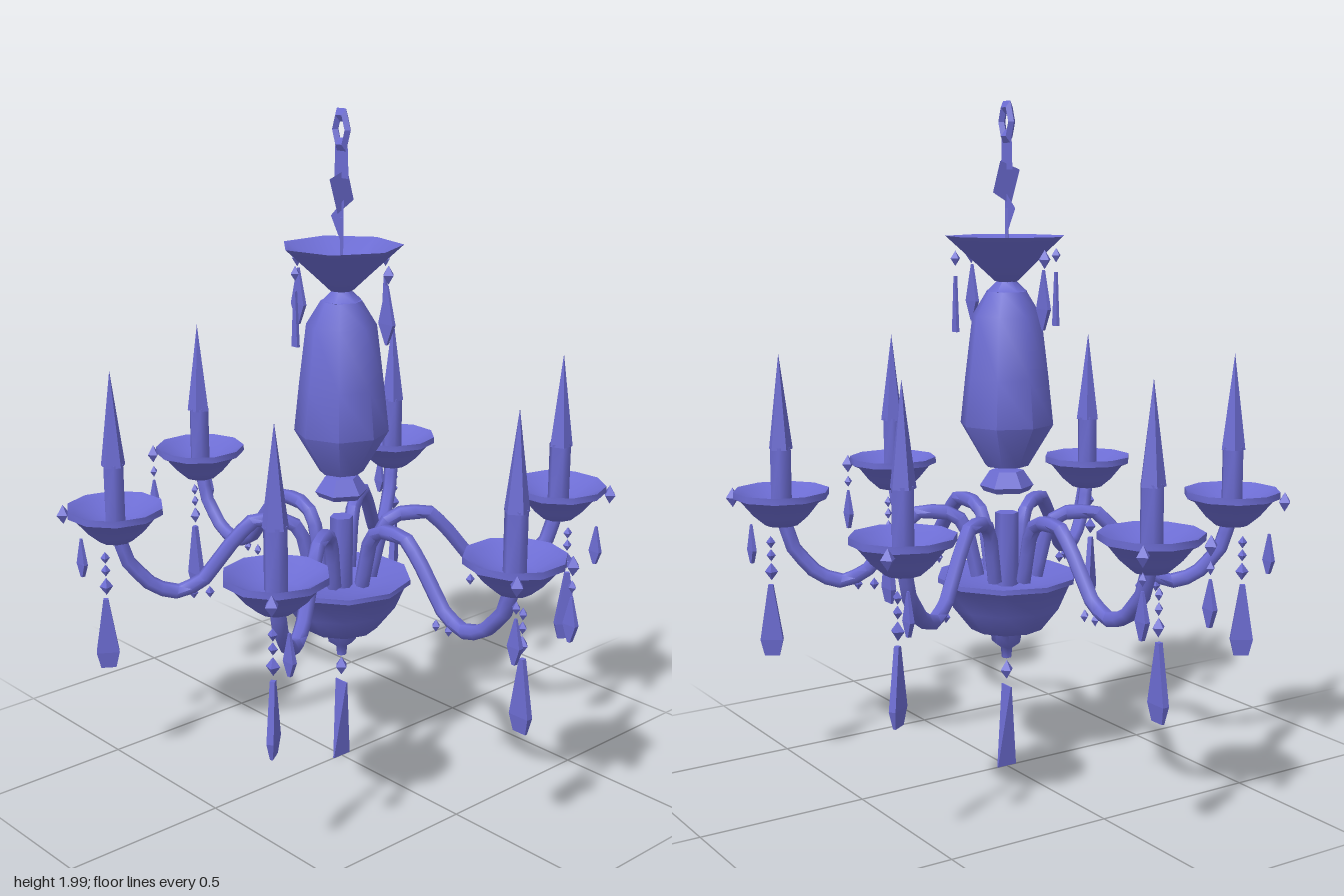
import * as THREE from 'three';
import { toCreasedNormals } from 'three/addons/utils/BufferGeometryUtils.js';
import { ConvexGeometry } from 'three/addons/geometries/ConvexGeometry.js';

export function createModel() {
  const model = new THREE.Group();
  model.name = 'chandelier';
  const violet = new THREE.MeshStandardMaterial({ color: 0x6c6cd2, side: THREE.DoubleSide });
  violet.name = 'violet';

  function add(parent, name, geometry, crease = 1.1) {
    const mesh = new THREE.Mesh(toCreasedNormals(geometry, crease), violet);
    mesh.name = name;
    parent.add(mesh);
    return mesh;
  }

  // Turned part from [radius, height] pairs
  const turned = (parent, name, profile, sides, crease) =>
    add(parent, name, new THREE.LatheGeometry(profile.map(p => new THREE.Vector2(p[0], p[1])), sides), crease);

  // Small eight-faced crystal bead
  function bead(parent, x, y, z, r = 0.016) {
    const mesh = add(parent, 'crystalBead', new THREE.OctahedronGeometry(r), 0.1);
    mesh.position.set(x, y, z);
    mesh.scale.y = 1.35;
  }

  // Wedge crystal: flat end widths along x and z at bottom and top
  function drop(parent, x, z, y0, y1, bottom, top) {
    const pts = [];
    for (const [y, w] of [[y0, bottom], [y1, top]]) {
      for (const sx of [-1, 1]) for (const sz of [-1, 1]) {
        pts.push(new THREE.Vector3(x + sx * w[0] / 2, y, z + sz * w[1] / 2));
      }
    }
    add(parent, 'crystalDrop', new ConvexGeometry(pts), 0.1);
  }

  // Chain of flat links; turned links face sideways
  const chain = new THREE.Group();
  chain.name = 'chain';
  model.add(chain);
  function flatLink(points, turn) {
    const shape = new THREE.Shape(points.map(p => new THREE.Vector2(p[0], p[1])));
    add(chain, 'chainLink', new THREE.ShapeGeometry(shape)).rotation.y = turn;
  }
  const ring = add(chain, 'topLink', new THREE.TorusGeometry(0.026, 0.012, 4, 6), 0.3);
  ring.rotation.y = Math.PI / 2;
  ring.scale.y = 1.8;
  ring.position.y = 1.935;
  flatLink([[-0.03, 1.8], [0.03, 1.8], [0.026, 1.89], [-0.026, 1.89]], Math.PI / 2);
  flatLink([[-0.015, 1.7], [0.047, 1.735], [0.022, 1.825], [-0.045, 1.8]], 0);
  flatLink([[-0.045, 1.69], [0.008, 1.6], [0.01, 1.74]], -Math.PI / 2);
  add(chain, 'hangingRod', new THREE.CylinderGeometry(0.006, 0.006, 0.24, 4)).position.y = 1.57;

  // Canopy, neck and central body
  turned(model, 'canopy', [[0.001, 1.47], [0.035, 1.48], [0.09, 1.53], [0.18, 1.61],
    [0.17, 1.607], [0.085, 1.54], [0.001, 1.505]], 7);
  turned(model, 'neck', [[0.04, 1.44], [0.06, 1.45], [0.028, 1.48], [0.028, 1.5]], 6);
  turned(model, 'centralBody', [[0.001, 0.93], [0.065, 0.935], [0.14, 1.06], [0.125, 1.2],
    [0.103, 1.38], [0.06, 1.45], [0.001, 1.455]], 8, 0.9);
  turned(model, 'collar', [[0.001, 0.855], [0.068, 0.858], [0.08, 0.875], [0.05, 0.92], [0.001, 0.925]], 6, 0.6);
  add(model, 'column', new THREE.CylinderGeometry(0.035, 0.035, 0.235, 6)).position.y = 0.675;

  // Lower bowl, finial and bottom crystal
  turned(model, 'bowl', [[0.001, 0.42], [0.06, 0.43], [0.11, 0.44], [0.165, 0.51], [0.198, 0.585],
    [0.212, 0.59], [0.212, 0.605], [0.195, 0.602], [0.1, 0.575], [0.001, 0.57]], 10);
  turned(model, 'finial', [[0.001, 0.34], [0.015, 0.345], [0.018, 0.375], [0.045, 0.395],
    [0.05, 0.43], [0.07, 0.44]], 7);
  bead(model, 0, 0.305, 0, 0.022);
  drop(model, 0, 0, 0, 0.255, [0.066, 0.004], [0.004, 0.05]);

  // Crystals around the canopy
  for (const s of [-1, 1]) {
    bead(model, s * 0.175, 1.55, 0);
    drop(model, s * 0.175, 0, 1.34, 1.5, [0.01, 0.025], [0.008, 0.008]);
    bead(model, 0, 1.55, s * 0.195, 0.02);
    drop(model, 0, s * 0.19, 1.35, 1.41, [0.008, 0.006], [0.012, 0.058]);
    drop(model, 0, s * 0.19, 1.41, 1.52, [0.012, 0.058], [0.006, 0.006]);
  }

  const armPath = [[0.09, 0.6], [0.125, 0.75], [0.165, 0.79], [0.27, 0.795], [0.33, 0.74],
    [0.43, 0.615], [0.5, 0.58], [0.58, 0.6], [0.655, 0.68], [0.685, 0.77]];
  const spots = [[0, 0.695], [0, -0.695]];
  for (const sx of [-1, 1]) for (const sz of [-1, 1]) spots.push([sx * 0.562, sz * 0.367]);

  for (const [x, z] of spots) {
    const reach = Math.hypot(x, z);
    const arm = new THREE.Group();
    arm.name = 'candleArm';
    arm.rotation.y = Math.atan2(-z, x);
    model.add(arm);

    // Angular bent arm, modelled along local +x
    const curve = new THREE.CatmullRomCurve3(
      armPath.map(([r, y]) => new THREE.Vector3(r * reach / 0.69, y, 0)), false, 'catmullrom', 0.1);
    add(arm, 'bentArm', new THREE.TubeGeometry(curve, 20, 0.023, 6, false));

    // Drip dish, candle and flame
    const holder = new THREE.Group();
    holder.name = 'candleHolder';
    holder.position.x = reach;
    arm.add(holder);
    turned(holder, 'dripDish', [[0.001, 0.745], [0.05, 0.755], [0.085, 0.785], [0.122, 0.83],
      [0.144, 0.84], [0.144, 0.86], [0.125, 0.85], [0.06, 0.815], [0.001, 0.805]], 10);
    add(holder, 'candle', new THREE.CylinderGeometry(0.033, 0.033, 0.19, 6)).position.y = 0.895;
    add(holder, 'flame', new THREE.ConeGeometry(0.037, 0.285, 5), 0.3).position.y = 1.125;

    // Pendant string beneath the dish
    for (const y of [0.7, 0.66, 0.61]) bead(holder, 0.035, y, 0, y < 0.65 ? 0.02 : 0.014);
    drop(holder, 0.038, 0, 0.35, 0.4, [0.045, 0.008], [0.068, 0.02]);
    drop(holder, 0.038, 0, 0.4, 0.57, [0.068, 0.02], [0.014, 0.014]);

    // Small beads beneath the arm
    for (const r of [0.41, 0.46]) bead(arm, r * reach / 0.69, 0.57, 0.01, 0.014);

    // Crystals on the dish rim
    if (x === 0) {
      for (const s of [-1, 1]) {
        const rim = z + Math.sign(z) * 0.108;
        bead(model, s * 0.112, 0.83, rim, 0.022);
        bead(model, s * 0.112, 0.77, rim, 0.014);
        drop(model, s * 0.112, rim, 0.61, 0.66, [0.012, 0.01], [0.016, 0.044]);
        drop(model, s * 0.112, rim, 0.66, 0.74, [0.016, 0.044], [0.006, 0.006]);
      }
    } else {
      const sx = Math.sign(x), sz = Math.sign(z);
      bead(model, x + sx * 0.108, 0.83, z + sz * 0.112, 0.022);
      drop(model, x + sx * 0.05, z + sz * 0.112, 0.62, 0.66, [0.01, 0.01], [0.014, 0.04]);
      drop(model, x + sx * 0.05, z + sz * 0.112, 0.66, 0.74, [0.014, 0.04], [0.006, 0.006]);
    }
  }
  return model;
}
